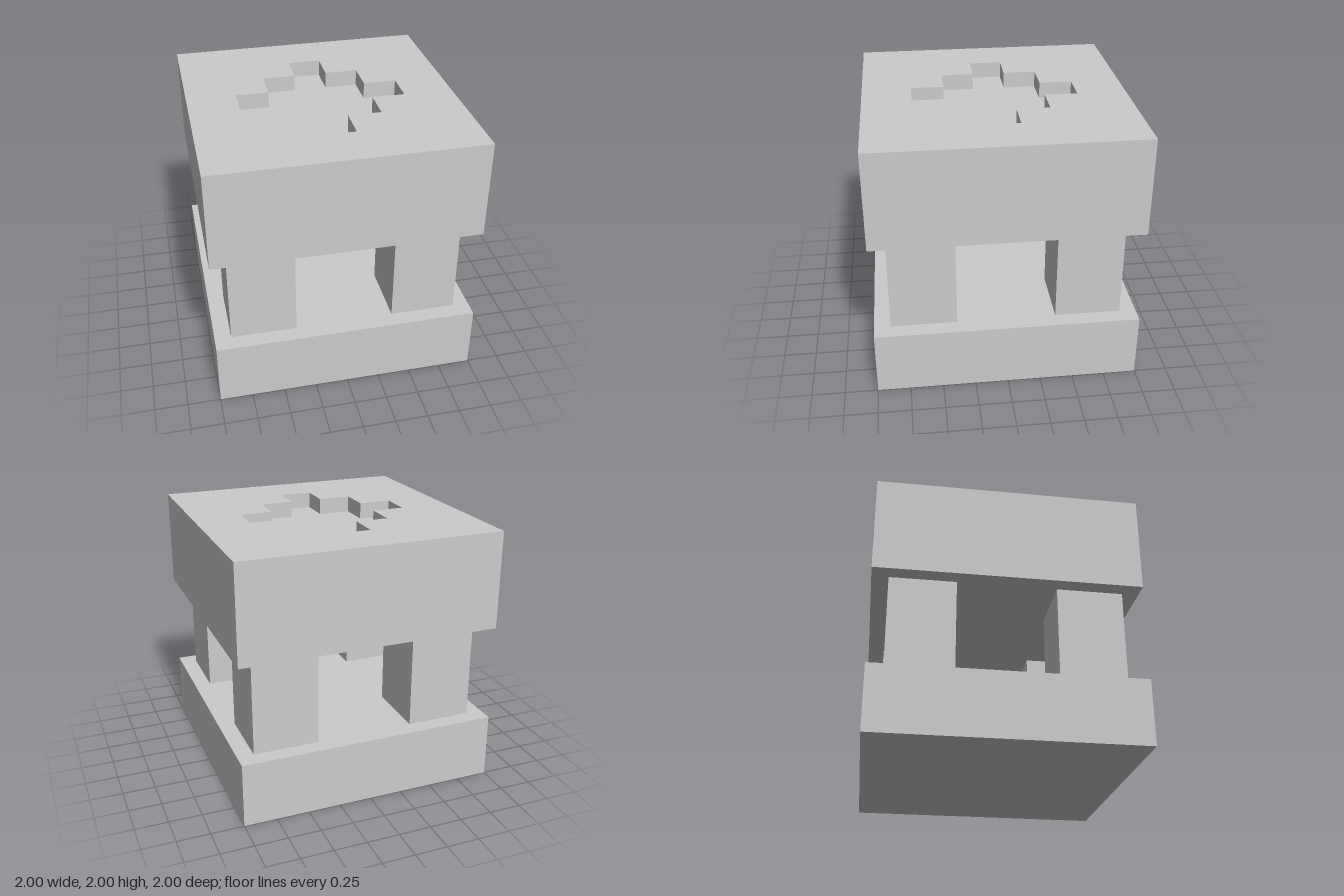
import * as THREE from 'three';

export function createModel() {
  const model = new THREE.Group();
  const material = new THREE.MeshStandardMaterial({ color: 0xcccccc, flatShading: true });

  const add = (name, geometry, x, y, z, parent = model) => {
    const mesh = new THREE.Mesh(geometry, material);
    mesh.name = name;
    mesh.position.set(x, y, z);
    parent.add(mesh);
    return mesh;
  };

  // Base slab
  add('base', new THREE.BoxGeometry(2, 0.5, 2), 0, 0.25, 0);

  // Four square pillars
  const pillar = new THREE.BoxGeometry(0.5, 0.75, 0.5);
  for (const x of [-1, 1]) {
    for (const z of [-1, 1]) {
      add(`${z > 0 ? 'front' : 'back'}${x > 0 ? 'Left' : 'Right'}Pillar`, pillar, x * 0.625, 0.875, z * 0.625);
    }
  }

  // Top block: solid slab below, pierced layer above forming the recess
  const topBlock = new THREE.Group();
  topBlock.name = 'topBlock';
  model.add(topBlock);
  add('topSlab', new THREE.BoxGeometry(2, 0.625, 2), 0, 1.5625, 0, topBlock);

  // Stepped cross: one quarter's corners, turned four times
  const quarter = [[0.625, -0.125], [0.625, 0.125], [0.375, 0.125], [0.375, 0.375], [0.125, 0.375]];
  const cross = [];
  for (let i = 0; i < 4; i++) {
    for (const [x, y] of quarter) {
      cross.push(new THREE.Vector2(...[[x, y], [-y, x], [-x, -y], [y, -x]][i]));
    }
  }
  const plate = new THREE.Shape([[-1, -1], [1, -1], [1, 1], [-1, 1]].map(([x, y]) => new THREE.Vector2(x, y)));
  plate.holes.push(new THREE.Path(cross));
  const recessedLayer = new THREE.ExtrudeGeometry(plate, { depth: 0.125, bevelEnabled: false });
  recessedLayer.rotateX(-Math.PI / 2);
  add('recessedTopLayer', recessedLayer, 0, 1.875, 0, topBlock);

  return model;
}
